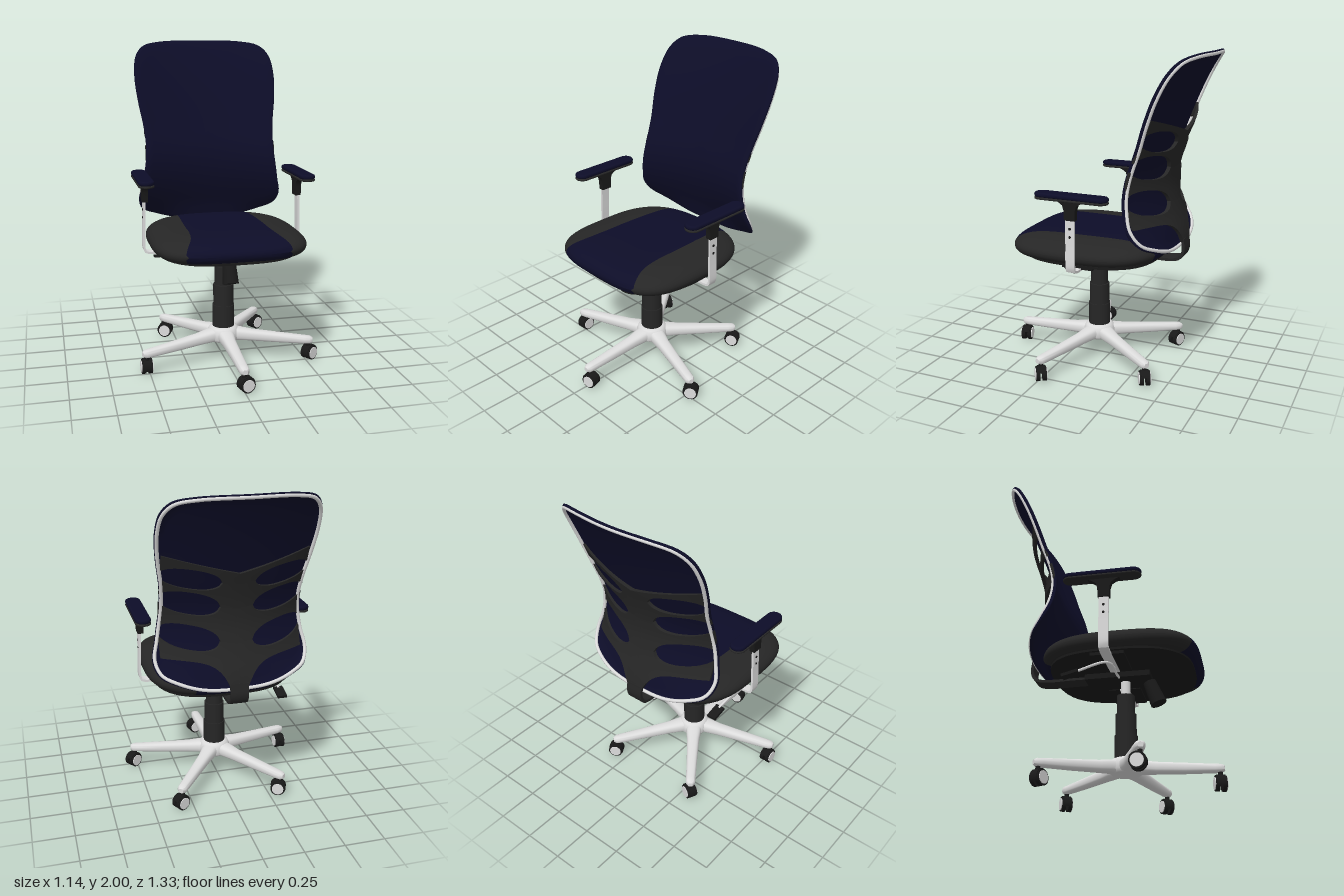
import * as THREE from 'three';
import { toCreasedNormals } from 'three/addons/utils/BufferGeometryUtils.js';

const material = (name, color) => {
  const m = new THREE.MeshStandardMaterial({ color, side: THREE.DoubleSide });
  m.name = name;
  return m;
};
const V = (x, y, z) => new THREE.Vector3(x, y, z);

// Smooth scalar function through a few samples
function smooth(xs, ys) {
  const f = new THREE.CubicInterpolant(xs, ys, 1, new Float32Array(1));
  return (x) => f.evaluate(x)[0];
}

// Skin over a list of equal-length closed loops, with capped ends
function loft(loops, crease = 0.7) {
  const pos = [], n = loops[0].length;
  const tri = (...p) => p.forEach((q) => pos.push(q.x, q.y, q.z));
  for (let i = 0; i < loops.length - 1; i++) for (let j = 0; j < n; j++) {
    const k = (j + 1) % n, a = loops[i], b = loops[i + 1];
    tri(a[j], a[k], b[k]);
    tri(a[j], b[k], b[j]);
  }
  for (const [loop, flip] of [[loops[0], true], [loops[loops.length - 1], false]]) {
    const c = loop.reduce((s, p) => s.add(p), V(0, 0, 0)).divideScalar(n);
    for (let j = 0; j < n; j++) {
      const k = (j + 1) % n;
      if (flip) tri(c, loop[k], loop[j]); else tri(c, loop[j], loop[k]);
    }
  }
  const g = new THREE.BufferGeometry();
  g.setAttribute('position', new THREE.Float32BufferAttribute(pos, 3));
  return toCreasedNormals(g, crease);
}

// Open surface from a function of u and v in 0..1
function grid(fn, nu, nv) {
  const pos = [], idx = [];
  for (let i = 0; i <= nu; i++) for (let j = 0; j <= nv; j++) pos.push(...fn(i / nu, j / nv));
  for (let i = 0; i < nu; i++) for (let j = 0; j < nv; j++) {
    const a = i * (nv + 1) + j, b = a + nv + 1;
    idx.push(a, a + 1, b, b, a + 1, b + 1);
  }
  const g = new THREE.BufferGeometry();
  g.setAttribute('position', new THREE.Float32BufferAttribute(pos, 3));
  g.setIndex(idx);
  g.computeVertexNormals();
  return g;
}

// Flat bar bent along a path
function ribbon(points, axis, width, thick) {
  const curve = new THREE.CatmullRomCurve3(points, false, 'centripetal'), n = 40;
  return loft(Array.from({ length: n + 1 }, (_, i) => {
    const p = curve.getPointAt(i / n), nor = curve.getTangentAt(i / n).cross(axis).normalize();
    return [[1, 1], [-1, 1], [-1, -1], [1, -1]].map(([a, b]) =>
      p.clone().addScaledVector(axis, a * width / 2).addScaledVector(nor, b * thick / 2));
  }));
}

export function createModel() {
  const chair = new THREE.Group();
  chair.name = 'officeChair';
  const navy = material('navyFabric', 0x0d0d28), charcoal = material('charcoal', 0x262626);
  const black = material('blackPlastic', 0x191919), silver = material('silver', 0xdcdcdc);
  const add = (name, geo, mat, x = 0, y = 0, z = 0, parent = chair) => {
    const m = new THREE.Mesh(geo, mat);
    m.name = name;
    m.position.set(x, y, z);
    parent.add(m);
    return m;
  };
  const box = (w, h, d) => new THREE.BoxGeometry(w, h, d);
  const cyl = (a, b, h) => new THREE.CylinderGeometry(a, b, h, 32);

  // Backrest: thin curved sheet, sides wrapping forward
  const ys = [0.8, 0.87, 0.95, 1.08, 1.2, 1.3, 1.48, 1.77, 1.95, 2.0];
  const sideZ = smooth(ys, [-0.42, -0.385, -0.33, -0.27, -0.25, -0.262, -0.33, -0.45, -0.54, -0.57]);
  const wrap = smooth(ys, [0.03, 0.06, 0.08, 0.09, 0.09, 0.085, 0.075, 0.07, 0.07, 0.07]);
  const sheetZ = (x, y) => sideZ(y) - wrap(y) * (1 - (x / 0.45) ** 2);
  const half = [[0.2, 0.815], [0.36, 0.86], [0.45, 0.905], [0.478, 0.98], [0.455, 1.1], [0.428, 1.3],
    [0.435, 1.45], [0.462, 1.62], [0.474, 1.78], [0.455, 1.9], [0.4, 1.965], [0.28, 1.993]];
  const outline = new THREE.CatmullRomCurve3([V(0, 0.805, 0), ...half.map(([x, y]) => V(x, y, 0)),
    V(0, 2, 0), ...half.slice().reverse().map(([x, y]) => V(-x, y, 0))], true).getPoints(120).slice(0, -1);
  const ring = (r, dz) => outline.map((p) => {
    const x = p.x * r, y = 1.4 + (p.y - 1.4) * r;
    return V(x, y, sheetZ(x, y) + dz);
  });
  const inner = [0.02, 0.15, 0.3, 0.45, 0.6, 0.75, 0.88];
  add('backrest', loft([...inner.map((r) => ring(r, 0)), ring(0.97, 0), ring(0.992, -0.005), ring(1, -0.014),
    ring(0.992, -0.026), ring(0.97, -0.03), ring(0.95, -0.016),
    ...inner.slice().reverse().map((r) => ring(r, -0.014))], 1.0), navy);
  add('backrestTrim', new THREE.TubeGeometry(
    new THREE.CatmullRomCurve3(ring(0.972, -0.027), true), 160, 0.011, 8, true), silver);

  // Ribbed support behind the backrest: bars separated by oval gaps
  const spineZ = smooth([0.84, 0.9, 1.05, 1.2, 1.32, 1.45, 1.53, 1.66],
    [-0.515, -0.508, -0.458, -0.432, -0.44, -0.473, -0.5, -0.54]);
  const plateZ = (x, y) => THREE.MathUtils.lerp(spineZ(y), sideZ(y) - 0.036, Math.min(1, (x / 0.43) ** 2));
  const gap = (c, h) => (x) => {
    const t = Math.min(1, Math.abs(x - 0.27) / 0.172);
    const m = c + 0.14 * (x - 0.27), d = h * Math.sqrt(1 - t ** 2.4);
    return [m - d, m + d];
  };
  const top = (x) => [1.53 + 0.26 * x, 0];
  const bottom = (x) => [0, 0.85 + 0.155 * (1 - Math.exp(-Math.max(0, x - 0.055) / 0.06))];
  const edges = [top, gap(1.5, 0.062), gap(1.345, 0.072), gap(1.135, 0.075), bottom];
  for (let i = 0; i < 4; i++) for (const s of [1, -1]) {
    const loops = [];
    for (let k = 0; k <= 32; k++) {
      const x = k / 32 * 0.432, hi = edges[i](x)[0], lo = edges[i + 1](x)[1];
      const t = 0.026 - 0.025 * x, front = [], back = [];
      for (let j = 0; j <= 4; j++) {
        const y = lo + (hi - lo) * j / 4, z = plateZ(x, y);
        back.push(V(s * x, y, z));
        front.unshift(V(s * x, y, z + t));
      }
      loops.push(s > 0 ? [...back, ...front] : [...back, ...front].reverse());
    }
    add('backSupportRib', loft(loops), charcoal);
  }
  add('backSupportBracket', ribbon([V(0, 0.728, -0.05), V(0, 0.728, -0.25), V(0, 0.728, -0.43), V(0, 0.745, -0.485),
    V(0, 0.79, -0.508), V(0, 0.87, -0.503)], V(1, 0, 0), 0.11, 0.018), charcoal);

  // Seat cushion: rounded plan with a fabric centre panel and darker sides
  const power = (z) => (z > 0.07 ? 3.6 : 2.8);
  const seatW = (z) => 0.475 * Math.pow(Math.max(0, 1 - (Math.abs(z - 0.07) / 0.48) ** power(z)), 1 / power(z));
  const panel = smooth([-0.41, -0.3, -0.1, 0.1, 0.25, 0.4, 0.5, 0.56], [0.23, 0.23, 0.24, 0.248, 0.25, 0.27, 0.31, 0.34]);
  const seatPoint = (x, z, up) => {
    const n = power(z), e = Math.min(1, (Math.abs(x) / 0.475) ** n + (Math.abs(z - 0.07) / 0.48) ** n) ** (1 / n);
    const y = up ? 0.8 + 0.083 * Math.sqrt(Math.max(0, 1 - e ** 5)) : 0.8 - 0.06 * Math.sqrt(Math.max(0, 1 - e ** 12));
    return [x, y, z];
  };
  const rowZ = (v) => 0.07 + 0.48 * Math.sin((v - 0.5) * Math.PI);
  for (const up of [true, false]) {
    add('seatCentrePanel', grid((u, v) => {
      const z = rowZ(v);
      return seatPoint((up ? 1 : -1) * (1 - 2 * u) * Math.min(panel(z), seatW(z)) * -1, z, up);
    }, 24, 64), navy);
    for (const s of [1, -1]) add('seatSide', grid((u, v) => {
      const z = rowZ(v), w = seatW(z), b = Math.min(panel(z), w);
      const k = Math.sin((s === (up ? 1 : -1) ? u : 1 - u) * Math.PI / 2);
      return seatPoint(s * (b + (w - b) * k), z, up);
    }, 20, 64), charcoal);
  }

  // Under-seat pan and mechanism
  const pan = Array.from({ length: 48 }, (_, i) => {
    const a = i / 48 * Math.PI * 2, c = Math.cos(a), s = Math.sin(a);
    return V(Math.sign(c) * Math.abs(c) ** 0.7 * 0.43, 0, 0.07 + Math.sign(s) * Math.abs(s) ** 0.7 * 0.435);
  });
  add('seatPan', loft([0.748, 0.734].map((y) => pan.map((p) => V(p.x, y, p.z)))), black);
  add('mechanism', box(0.2, 0.035, 0.4), black, 0, 0.718, 0.04);
  add('tensionKnob', cyl(0.04, 0.05, 0.15), black, 0, 0.62, 0.25).rotation.x = -0.37;
  const rod = new THREE.CatmullRomCurve3([V(-0.08, 0.705, 0.05), V(-0.15, 0.695, 0.05), V(-0.32, 0.695, 0.045),
    V(-0.37, 0.685, 0.01), V(-0.37, 0.64, -0.15)], false, 'centripetal');
  add('leverRod', new THREE.TubeGeometry(rod, 40, 0.008, 8), silver);
  add('leverHandle', box(0.06, 0.018, 0.1), black, -0.37, 0.626, -0.18).rotation.x = -0.25;

  // Armrests
  const capsule = new THREE.Shape();
  capsule.absarc(0, 0.185, 0.036, 0, Math.PI);
  capsule.absarc(0, -0.185, 0.036, Math.PI, Math.PI * 2);
  const pad = (depth, bevel) => {
    const g = new THREE.ExtrudeGeometry(capsule, { depth, bevelSize: 0.012, bevelThickness: bevel, bevelSegments: 4, curveSegments: 12 });
    return g.rotateX(-Math.PI / 2);
  };
  for (const s of [1, -1]) {
    const arm = new THREE.Group();
    arm.name = s > 0 ? 'leftArmrest' : 'rightArmrest';
    chair.add(arm);
    add('armBar', ribbon([V(s * 0.15, 0.718, 0.04), V(s * 0.3, 0.718, 0.04), V(s * 0.465, 0.718, 0.04),
      V(s * 0.49, 0.727, 0.04), V(s * 0.497, 0.75, 0.04), V(s * 0.495, 0.9, 0.04), V(s * 0.49, 1.1, 0.04)],
    V(0, 0, 1), 0.058, 0.014), silver, 0, 0, 0, arm);
    add('armMount', box(0.26, 0.025, 0.2), black, s * 0.28, 0.728, 0.04, arm);
    for (const y of [0.94, 0.99]) add('adjustmentHole', cyl(0.008, 0.008, 0.004), black, s * 0.501, y, 0.04, arm).rotation.z = Math.PI / 2;
    // Sleeve flaring up into the pad
    const sleeve = [[1.04, 0.034], [1.1, 0.036], [1.13, 0.045], [1.15, 0.075], [1.17, 0.13]];
    add('armSleeve', loft(sleeve.map(([y, h]) => [[1, 1], [-1, 1], [-1, -1], [1, -1]].map(([a, b]) =>
      V(s * 0.488 + a * 0.018, y, 0.04 + b * h)))), black, 0, 0, 0, arm);
    add('armPadBase', pad(0.004, 0.006), charcoal, s * 0.497, 1.163, 0.03, arm);
    add('armPad', pad(0.004, 0.012), navy, s * 0.497, 1.183, 0.03, arm);
  }

  // Gas column
  const cz = 0.075;
  for (const [r, y0, y1, m] of [[0.07, 0.2, 0.355, charcoal], [0.064, 0.355, 0.49, charcoal],
    [0.055, 0.49, 0.61, charcoal], [0.029, 0.61, 0.715, silver]]) add('gasColumn', cyl(r, r, y1 - y0), m, 0, (y0 + y1) / 2, cz);

  // Five-star base
  add('baseHub', new THREE.LatheGeometry([[0, 0.12], [0.085, 0.12], [0.105, 0.14], [0.102, 0.18], [0.088, 0.207],
    [0.07, 0.215], [0, 0.215]].map(([r, y]) => new THREE.Vector2(r, y)), 40), silver, 0, 0, cz);
  const legSections = [[0.05, 0.055, 0.12, 0.205], [0.11, 0.05, 0.12, 0.198], [0.18, 0.041, 0.117, 0.187],
    [0.35, 0.035, 0.11, 0.172], [0.52, 0.031, 0.106, 0.157], [0.555, 0.028, 0.107, 0.154], [0.572, 0.015, 0.115, 0.145]];
  const swivels = [0.25, 0.6, 0.5, -0.4, Math.PI / 2];
  swivels.forEach((swivel, i) => {
    const a = i * Math.PI * 2 / 5;
    const leg = add('baseLeg', loft(legSections.map(([r, w, lo, hi]) => Array.from({ length: 20 }, (_, k) => {
      const t = k / 20 * Math.PI * 2, c = Math.cos(t), s = Math.sin(t);
      return V(Math.sign(c) * Math.abs(c) ** 0.7 * w, (lo + hi) / 2 + Math.sign(s) * Math.abs(s) ** 0.7 * (hi - lo) / 2, r);
    })), 0.9), silver, 0, 0, cz);
    leg.rotation.y = a;

    // Twin-wheel caster
    const caster = new THREE.Group();
    caster.name = 'caster';
    caster.position.set(Math.sin(a) * 0.545, 0, cz + Math.cos(a) * 0.545);
    caster.rotation.y = swivel;
    chair.add(caster);
    add('casterStem', cyl(0.014, 0.014, 0.07), black, 0, 0.085, 0, caster);
    for (const s of [1, -1]) {
      add('casterWheel', cyl(0.046, 0.046, 0.024), black, 0.012, 0.046, s * 0.02, caster).rotation.x = Math.PI / 2;
      add('wheelCap', cyl(0.037, 0.037, 0.006), silver, 0.012, 0.046, s * 0.034, caster).rotation.x = Math.PI / 2;
    }
    const hood = add('casterHood', new THREE.CylinderGeometry(0.05, 0.05, 0.05, 24, 1, false, 0, Math.PI), black, 0.012, 0.047, 0, caster);
    hood.rotation.set(Math.PI / 2, Math.PI / 2 + 0.4, 0);
  });
  return chair;
}
